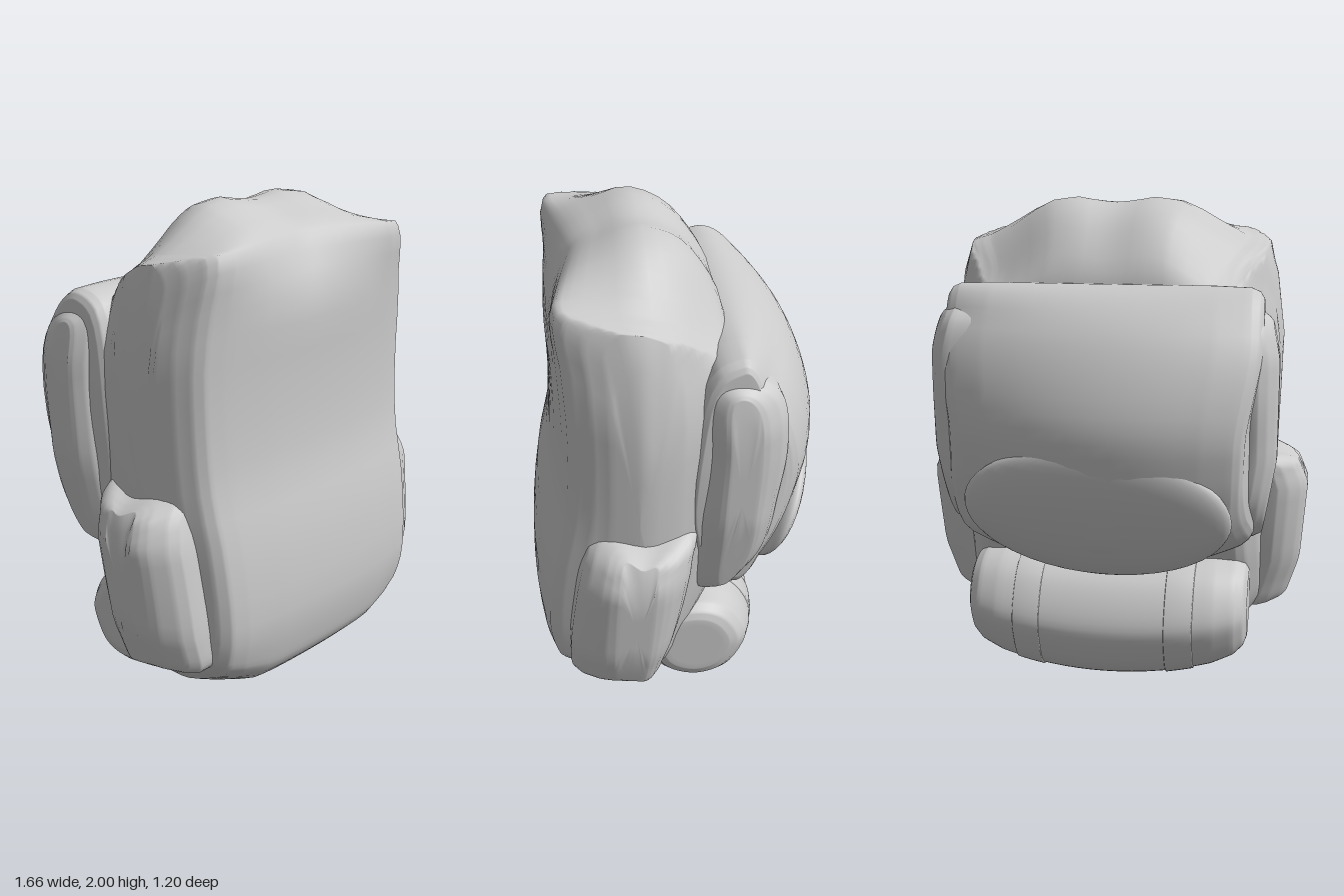
import * as THREE from 'three';

const material = new THREE.MeshStandardMaterial({ color: 0xcccccc, roughness: 0.9 });
const { smoothstep, clamp } = THREE.MathUtils;

// Piecewise-linear lookup in a short list of [input, output] pairs
function lookup(table, v) {
  if (v <= table[0][0]) return table[0][1];
  for (let i = 1; i < table.length; i++) {
    const [a, fa] = table[i - 1], [b, fb] = table[i];
    if (v <= b) return fa + (fb - fa) * (v - a) / (b - a);
  }
  return table[table.length - 1][1];
}

// Padded form: a closed (z, y) outline swept along x. Stations are [x, inset]; "tall" is the
// share of the inset used vertically. The width table scales x by height, and warp bends points.
function padded(name, outline, stations, { width = [[0, 1]], warp = () => {}, tall = 1, steps = 5 } = {}) {
  const curve = new THREE.CatmullRomCurve3(outline.map(([z, y]) => new THREE.Vector3(0, y, z)), true, 'centripetal');
  const ring = curve.getPoints(60).slice(0, 60);
  const box = new THREE.Box3().setFromPoints(ring);
  const mid = box.getCenter(new THREE.Vector3()), half = box.getSize(new THREE.Vector3()).multiplyScalar(0.5);

  // Rows are [x, inset, share]; the share shrinks the end rows to a point
  const rows = [];
  stations.forEach(([x, inset], i) => {
    if (i === 0) return rows.push([x, inset, 1]);
    const [px, pi] = stations[i - 1];
    for (let k = 1; k <= steps; k++) rows.push([px + (x - px) * k / steps, pi + (inset - pi) * k / steps, 1]);
  });
  const first = rows[0], last = rows[rows.length - 1];
  for (const share of [0.8, 0.5, 0.25, 0]) {
    rows.unshift([first[0], first[1], share]);
    rows.push([last[0], last[1], share]);
  }

  const positions = [], index = [], n = ring.length, p = new THREE.Vector3();
  for (const [x, inset, share] of rows) {
    const sy = share * (1 - inset * tall / half.y), sz = share * (1 - inset / half.z);
    for (const r of ring) {
      p.set(0, mid.y + (r.y - mid.y) * sy, mid.z + (r.z - mid.z) * sz);
      p.x = x * lookup(width, p.y);
      warp(p);
      positions.push(p.x, p.y, p.z);
    }
  }
  for (let i = 0; i < rows.length - 1; i++) {
    for (let j = 0; j < n; j++) {
      const k = (j + 1) % n, a = i * n, b = a + n;
      index.push(a + j, b + j, b + k, a + j, b + k, a + k);
    }
  }
  const geometry = new THREE.BufferGeometry();
  geometry.setAttribute('position', new THREE.Float32BufferAttribute(positions, 3));
  geometry.setIndex(index);
  geometry.computeVertexNormals();
  const mesh = new THREE.Mesh(geometry, material);
  mesh.name = name;
  return mesh;
}

// Stations listed from the middle outwards, repeated on the other side
const mirrored = (list) => [...list.slice(1).reverse().map(([x, s]) => [-x, s]), ...list];
// One-sided stations placed on the left (+1) or right (-1)
const onSide = (list, side) => side > 0 ? list : list.map(([x, s]) => [-x, s]).reverse();

export function createModel() {
  const pack = new THREE.Group();
  pack.name = 'backpack';

  // Main compartment with a puffy two-lobed lid, dropping shoulders and bulging sides
  const lobes = [[0, 0.9], [0.08, 0.93], [0.17, 1], [0.28, 0.93], [0.36, 0.75], [0.46, 0.45], [0.56, 0.18], [0.65, 0.06]];
  const shoulder = [[-0.2, 1.57], [-0.1, 1.65], [0, 1.73], [0.15, 1.8], [0.47, 1.87]];
  pack.add(padded('mainCompartment', [
    [0.28, 0.05], [0.45, 0.11], [0.54, 0.19], [0.565, 0.26], [0.59, 0.44], [0.56, 0.75], [0.5, 1.02], [0.48, 1.35],
    [0.485, 1.65], [0.47, 1.84], [0.42, 1.9], [0.3, 1.95], [0.12, 2], [-0.02, 1.95], [-0.13, 1.82],
    [-0.2, 1.66], [-0.2, 1.2], [-0.16, 0.7], [-0.08, 0.5], [0, 0.35], [0.06, 0.12], [0.16, 0.06],
  ], mirrored([[0, 0], [0.3, 0], [0.52, 0.005], [0.61, 0.015], [0.65, 0.05], [0.685, 0.13], [0.7, 0.23]]), {
    tall: 0.6,
    width: [[0.03, 0.86], [0.25, 0.95], [0.9, 1], [1.5, 1.02], [1.7, 0.97], [1.86, 0.92], [2, 0.92]],
    warp: (p) => {
      const x = Math.abs(p.x), side = lookup(shoulder, p.z);
      if (p.y > side) p.y = side + (p.y - side) * lookup(lobes, x);
      p.y += 0.35 * Math.max(0, x - 0.35) * clamp((0.4 - p.y) / 0.3, 0, 1);
      const front = smoothstep(p.z, 0.1, 0.45), back = smoothstep(-p.z, -0.2, 0.18);
      const lean = front * smoothstep(p.y, 1.6, 1.9);
      p.x *= 1 - 0.06 * front - back * (0.12 + 0.1 * smoothstep(p.y, 1.35, 1.7));
      p.z -= 0.1 * lean * Math.max(0, 1 - x / 0.5) + 0.1 * front * (1 - lean) * x * x;
    },
  }));

  // Large outer pocket, bowed and slightly skewed, its bottom rising towards the sides
  const skew = (p) => {
    p.z += (0.3 * p.x * p.x + 0.07 * p.x) * clamp((-0.2 - p.z) / 0.25, 0, 1);
    p.x *= 1 - 0.1 * smoothstep(-p.z, 0.25, 0.45) * smoothstep(1.5 - p.y, 0, 0.4);
    p.y += 0.38 * p.x * p.x * clamp((1.1 - p.y) / 0.5, 0, 1);
  };
  pack.add(padded('outerPocket', [
    [-0.1, 1.62], [-0.22, 1.67], [-0.35, 1.63], [-0.5, 1.47], [-0.6, 1.18], [-0.575, 0.95], [-0.52, 0.77],
    [-0.44, 0.62], [-0.33, 0.53], [-0.2, 0.49], [-0.08, 0.55], [0, 0.9], [-0.02, 1.3],
  ], mirrored([[0, 0], [0.45, 0], [0.6, 0.005], [0.635, 0.02], [0.65, 0.045]]), {
    width: [[0.5, 0.94], [0.8, 0.98], [1.2, 1], [1.67, 0.97]], warp: skew,
  }));

  // Arched lower panel of the outer pocket
  const panel = new THREE.Mesh(new THREE.SphereGeometry(1, 40, 24), material);
  panel.name = 'lowerPanel';
  panel.scale.set(0.54, 0.32, 0.09);
  panel.position.set(0, 0.79, -0.43);
  panel.rotation.set(-0.42, -0.05, 0);
  pack.add(panel);

  for (const side of [1, -1]) {
    const label = side > 0 ? 'left' : 'right';
    // Upright gusset beside the outer pocket
    const gusset = padded(label + 'Gusset', [
      [-0.1, 1.57], [-0.24, 1.59], [-0.35, 1.52], [-0.38, 1.3], [-0.35, 1.05], [-0.31, 0.82],
      [-0.2, 0.68], [-0.04, 0.62], [-0.04, 0.9], [-0.08, 1.3],
    ], onSide([[0.5, 0], [0.62, 0], [0.66, 0.03], [0.69, 0.08], [0.7, 0.11]], side), {
      tall: 0.5,
      width: [[0.65, 0.92], [1, 1], [1.4, 1], [1.6, 0.94]],
    });
    gusset.position.z = side > 0 ? 0 : -0.04;
    pack.add(gusset);
    // Slanted side pocket
    pack.add(padded(label + 'SidePocket', [
      [0.33, 0.97], [0.12, 0.95], [-0.04, 0.95], [-0.02, 0.85], [0.02, 0.6], [0.08, 0.35], [0.12, 0.23],
      [0.2, 0.23], [0.34, 0.25], [0.45, 0.28], [0.465, 0.4], [0.44, 0.65], [0.4, 0.85],
    ], onSide([[0.48, 0], [0.7, 0], [0.75, 0.03], [0.8, 0.09], [0.82, 0.13], [0.83, 0.17]], side), {
      tall: 0.35,
      width: [[0.24, 0.89], [0.45, 0.97], [0.8, 1], [0.9, 0.95], [0.98, 0.82]],
    }));
  }

  // Bedroll, wrapped forwards and upwards around the base, with two straps
  const roll = [
    [0.06, 0.1], [0.11, 0.27], [0.07, 0.42], [-0.03, 0.485], [-0.17, 0.485], [-0.27, 0.42],
    [-0.345, 0.26], [-0.32, 0.15], [-0.25, 0.04], [-0.13, 0], [-0.02, 0.03],
  ];
  const bend = (p) => {
    p.y += 0.25 * p.x * p.x * (1 - 1.5 * p.y);
    p.z += 0.18 * p.x * p.x;
  };
  pack.add(padded('bedroll', roll, mirrored([[0, 0], [0.3, 0], [0.45, 0.003], [0.54, 0.02], [0.58, 0.05], [0.595, 0.09]]), { warp: bend }));
  for (const side of [1, -1]) {
    pack.add(padded('bedrollStrap', roll, onSide([[0.26, 0.003], [0.265, -0.006], [0.375, -0.005], [0.38, 0.006]], side), { warp: bend, steps: 2 }));
  }

  return pack;
}
